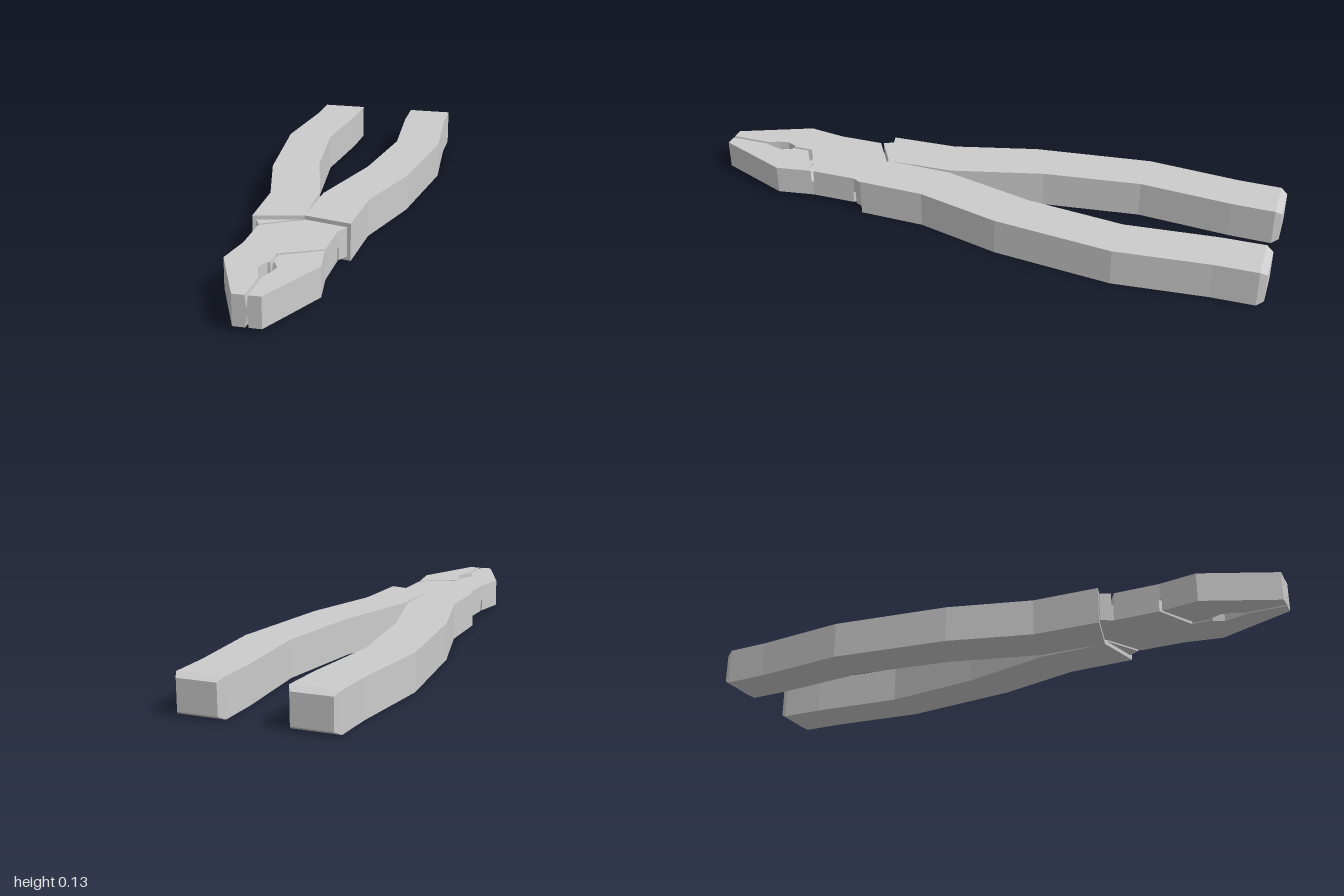
import * as THREE from 'three';

const H = 0.127;                       // handle height
const CORE = [0.057, 0.07];            // solid web between the grooved layers
const TOP = 0.113;                     // top of the head

// Closed, faceted solid through rings of [x, y, z]; caps are triangulated in the (u, v) axes
function loft(name, rings, u, v) {
  const flat = (ring) => ring.map((p) => new THREE.Vector2(p[u], p[v]));
  if (THREE.ShapeUtils.isClockWise(flat(rings[0]))) rings = rings.map((r) => [...r].reverse());
  const tris = [];
  const n = rings[0].length, first = rings[0], last = rings[rings.length - 1];
  for (let k = 0; k + 1 < rings.length; k++) {
    const a = rings[k], b = rings[k + 1];
    for (let i = 0; i < n; i++) {
      const j = (i + 1) % n;
      tris.push([a[i], a[j], b[j]], [a[i], b[j], b[i]]);
    }
  }
  for (const [i, j, k] of THREE.ShapeUtils.triangulateShape(flat(first), [])) tris.push([first[k], first[j], first[i]]);
  for (const [i, j, k] of THREE.ShapeUtils.triangulateShape(flat(last), [])) tris.push([last[i], last[j], last[k]]);
  // Turn the faces outward if the rings ran the other way
  let volume = 0;
  const [A, B, C] = [0, 1, 2].map(() => new THREE.Vector3());
  for (const [a, b, c] of tris) volume += A.fromArray(a).dot(B.fromArray(b).cross(C.fromArray(c)));
  if (volume < 0) tris.forEach((t) => t.reverse());
  const geometry = new THREE.BufferGeometry();
  geometry.setAttribute('position', new THREE.Float32BufferAttribute(tris.flat(2), 3));
  geometry.computeVertexNormals();
  const mesh = new THREE.Mesh(geometry, new THREE.MeshStandardMaterial({ color: 0xcccccc, flatShading: true }));
  mesh.name = name;
  return mesh;
}

// Plate from an [x, z, dx] outline; dx opens the V groove towards the top
function plate(name, outline, y0, y1) {
  const low = outline.map(([x, z]) => [x, y0, z]);
  const high = outline.map(([x, z, dx = 0]) => [x + dx, y1, z]);
  return loft(name, [low, high], 2, 0);
}

// Handle stations: inner x, inner z, outer x, outer z, vertical inset
const STATIONS = [
  [0, 0.38, 0.163, 0.42, 0],
  [0.006, 0.15, 0.17, 0.19, 0],
  [0.09, -0.17, 0.247, -0.1, 0],
  [0.132, -0.51, 0.294, -0.51, 0],
  [0.105, -0.83, 0.265, -0.83, 0],
  [0.102, -0.977, 0.262, -0.977, 0],
  [0.115, -1, 0.249, -1, 0.013],
];

function handle(name, side) {
  const rings = STATIONS.map(([xi, zi, xo, zo, d]) => [
    [side * xi, d, zi], [side * xo, d, zo], [side * xo, H - d, zo], [side * xi, H - d, zi],
  ]);
  return loft(name, rings, 0, 1);
}

// Edge of a jaw along the centre line, with half of the gripping pocket
function jawEdge(side) {
  const g = side * 0.005;
  return [
    [0, 0.755, g], [side * 0.012, 0.755], [side * 0.027, 0.79],
    [side * 0.02, 0.825], [side * 0.005, 0.865], [0, 0.866, g], [0, 1, g],
  ];
}

// One face of the head: two jaws and a shoulder parted by grooves
function headLayer(name) {
  const layer = new THREE.Group();
  layer.name = name;
  const [y0, y1] = [CORE[1], TOP];
  layer.add(
    plate('mainJaw', [
      [0, 0.34], [0.15, 0.34], [0.15, 0.42], [0.13, 0.46], [0.13, 0.616], [0, 0.685, -0.005],
      ...jawEdge(-1),
      [-0.044, 1], [-0.15, 0.75], [-0.13, 0.62], [-0.13, 0.464], [0, 0.386],
    ], y0, y1),
    plate('opposingJaw', [
      [0.131, 0.626], [0, 0.695, 0.005], ...jawEdge(1), [0.044, 1], [0.15, 0.75],
    ], y0, y1),
    plate('shoulder', [
      [0, 0.34], [0, 0.376], [-0.132, 0.454], [-0.15, 0.42], [-0.15, 0.34],
    ], y0, y1),
  );
  return layer;
}

export function createModel() {
  const model = new THREE.Group();
  model.name = 'pliers';
  model.add(handle('leftHandle', 1), handle('rightHandle', -1));

  // Solid web that forms the groove and pocket floors
  const half = [[0.15, 0.34], [0.15, 0.42], [0.13, 0.46], [0.13, 0.62], [0.15, 0.75], [0.044, 1]];
  const mirrored = half.map(([x, z]) => [-x, z]).reverse();
  model.add(plate('headCore', [...half, ...mirrored], ...CORE));

  // The underside of the head is the upper side turned about the long axis
  const lower = headLayer('lowerHead');
  lower.rotation.z = Math.PI;
  lower.position.y = H;
  model.add(headLayer('upperHead'), lower);
  return model;
}
